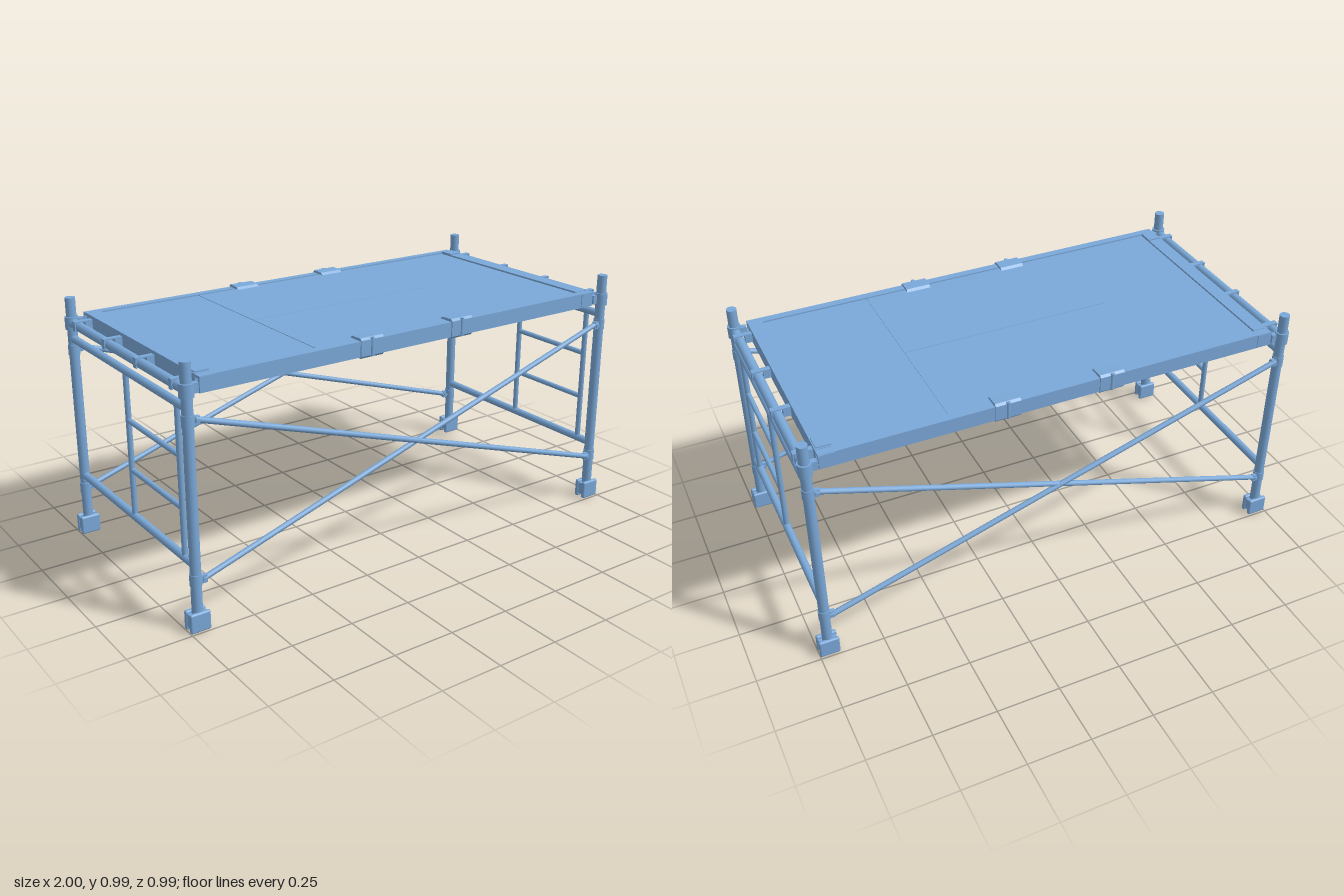
import * as THREE from 'three';
import { RoundedBoxGeometry } from 'three/addons/geometries/RoundedBoxGeometry.js';

const mat = new THREE.MeshStandardMaterial({ color: 0x7aa8d8 });
const PX = 0.96, PZ = 0.467; // post positions

function add(parent, name, geo, x = 0, y = 0, z = 0) {
  const m = new THREE.Mesh(geo, mat);
  m.name = name;
  m.position.set(x, y, z);
  parent.add(m);
  return m;
}

function box(parent, name, w, h, d, x, y, z) {
  return add(parent, name, new THREE.BoxGeometry(w, h, d), x, y, z);
}

// round bar between two points
function bar(parent, name, a, b, r, sides = 14) {
  const p = new THREE.Vector3(...a), q = new THREE.Vector3(...b);
  const dir = q.clone().sub(p);
  const m = add(parent, name, new THREE.CylinderGeometry(r, r, dir.length(), sides));
  m.position.copy(p).add(q).multiplyScalar(0.5);
  m.quaternion.setFromUnitVectors(new THREE.Vector3(0, 1, 0), dir.normalize());
  return m;
}

function extrude(points, depth) {
  const shape = new THREE.Shape(points.map(p => new THREE.Vector2(...p)));
  const g = new THREE.ExtrudeGeometry(shape, { depth, bevelEnabled: false });
  return g.translate(0, 0, -depth / 2);
}

// corner post with twin-cheek foot and coupling collars
function makePost(sx, sz) {
  const g = new THREE.Group();
  g.name = 'cornerPost';
  const x = sx * PX, z = sz * PZ;
  bar(g, 'postTube', [x, 0.035, z], [x, 0.99, z], 0.02, 18);
  for (const s of [-1, 1])
    add(g, 'footCheek', new RoundedBoxGeometry(0.08, 0.075, 0.018, 2, 0.007), x, 0.0375, z + s * 0.0185);
  box(g, 'footCore', 0.07, 0.05, 0.022, x, 0.04, z);
  for (const y of [0.195, 0.782]) {
    bar(g, 'braceCollar', [x, y - 0.022, z], [x, y + 0.022, z], 0.0225, 18);
    box(g, 'braceLug', 0.028, 0.03, 0.016, x - sx * 0.024, y, z + sz * 0.008);
    bar(g, 'bracePin', [x - sx * 0.027, y, z - sz * 0.008], [x - sx * 0.027, y, z + sz * 0.024], 0.008, 10);
  }
  bar(g, 'topCollar', [x, 0.865, z], [x, 0.915, z], 0.0265, 18);
  box(g, 'deckLug', 0.03, 0.036, 0.022, x - sx * 0.03, 0.89, z - sz * 0.008);
  return g;
}

// end frame with offset ladder
function makeEndFrame(sx) {
  const g = new THREE.Group();
  g.name = 'endFrame';
  const x = sx * PX, zl = 0.395;
  bar(g, 'lowerCrossbar', [x, 0.25, -PZ], [x, 0.25, PZ], 0.0155);
  bar(g, 'upperCrossbar', [x, 0.826, -PZ], [x, 0.826, PZ], 0.0155);
  bar(g, 'deckSupportBar', [x, 0.89, -PZ], [x, 0.89, PZ], 0.019);
  for (const z of [0, zl])
    bar(g, 'ladderUpright', [x, 0.25, z], [x, 0.826, z], 0.011);
  for (const y of [0.44, 0.635])
    bar(g, 'ladderRung', [x, y, 0], [x, y, zl], 0.0105);
  return g;
}

// crossed diagonals along one long side
function makeBraces(sz) {
  const g = new THREE.Group();
  g.name = 'crossBraces';
  for (const s of [-1, 1]) {
    const z = sz * (0.477 + s * 0.003);
    bar(g, 'diagonalBrace', [-0.94, 0.49 + s * 0.298, z], [0.94, 0.49 - s * 0.298, z], 0.011, 10);
  }
  bar(g, 'centrePivot', [0, 0.49, sz * 0.464], [0, 0.49, sz * 0.49], 0.007, 10);
  return g;
}

function makeDeck() {
  const g = new THREE.Group();
  g.name = 'deck';
  // floor: end panels and a split centre panel
  for (const s of [-1, 1]) {
    box(g, 'endPanel', 0.463, 0.01, 0.88, s * 0.6565, 0.914, 0);
    box(g, 'centrePanel', 0.85, 0.012, 0.429, 0, 0.915, s * 0.2155);
  }
  for (const x of [-0.425, -0.21, 0.21, 0.425])
    box(g, 'crossMember', 0.025, 0.03, 0.88, x, 0.896, 0);

  for (const s of [-1, 1]) {
    // channel-section side rail
    const rail = add(g, 'sideRail', extrude([
      [0.432, 0.925], [0.464, 0.925], [0.464, 0.866], [0.44, 0.866],
      [0.44, 0.872], [0.458, 0.872], [0.458, 0.915], [0.432, 0.915],
    ], 1.82));
    rail.rotation.y = -Math.PI / 2;
    if (s < 0) rail.rotation.y = Math.PI / 2;
    // end rail and its inner lip
    box(g, 'endRail', 0.012, 0.06, 0.87, s * 0.904, 0.896, 0);
    box(g, 'endRailLip', 0.055, 0.008, 0.86, s * 0.88, 0.922, 0);
    box(g, 'endRailFoot', 0.03, 0.007, 0.86, s * 0.892, 0.869, 0);
    box(g, 'cornerPlate', 0.055, 0.006, 0.06, s * 0.878, 0.928, s * -0.395);
    for (const t of [-1, 1])
      box(g, 'cornerBracket', 0.06, 0.055, 0.01, s * 0.88, 0.896, t * 0.462);
    // hooks over the support bar
    for (const z of [-0.395, -0.13, 0.13, 0.395]) {
      const hook = add(g, 'deckHook', extrude([
        [0.9, 0.875], [0.938, 0.875], [0.938, 0.908], [0.976, 0.908],
        [0.976, 0.875], [0.982, 0.875], [0.982, 0.913], [0.9, 0.913],
      ], 0.022), 0, 0, z);
      if (s < 0) hook.rotation.y = Math.PI;
    }
    // clamps wrapped round the side rail
    for (const x of [-0.21, 0.21]) {
      const clamp = add(g, 'railClamp', extrude([
        [0.4, 0.925], [0.41, 0.934], [0.46, 0.936], [0.469, 0.928], [0.469, 0.868],
        [0.462, 0.86], [0.435, 0.86], [0.435, 0.866], [0.464, 0.867], [0.464, 0.925],
      ], 0.1), x, 0, 0);
      clamp.rotation.y = s > 0 ? -Math.PI / 2 : Math.PI / 2;
      bar(g, 'clampPin', [x, 0.865, s * 0.466], [x, 0.935, s * 0.466], 0.008, 10);
    }
  }
  return g;
}

export function createModel() {
  const model = new THREE.Group();
  model.name = 'scaffoldPlatform';
  for (const s of [-1, 1]) {
    for (const t of [-1, 1]) model.add(makePost(s, t));
    model.add(makeEndFrame(s), makeBraces(s));
  }
  model.add(makeDeck());
  return model;
}
